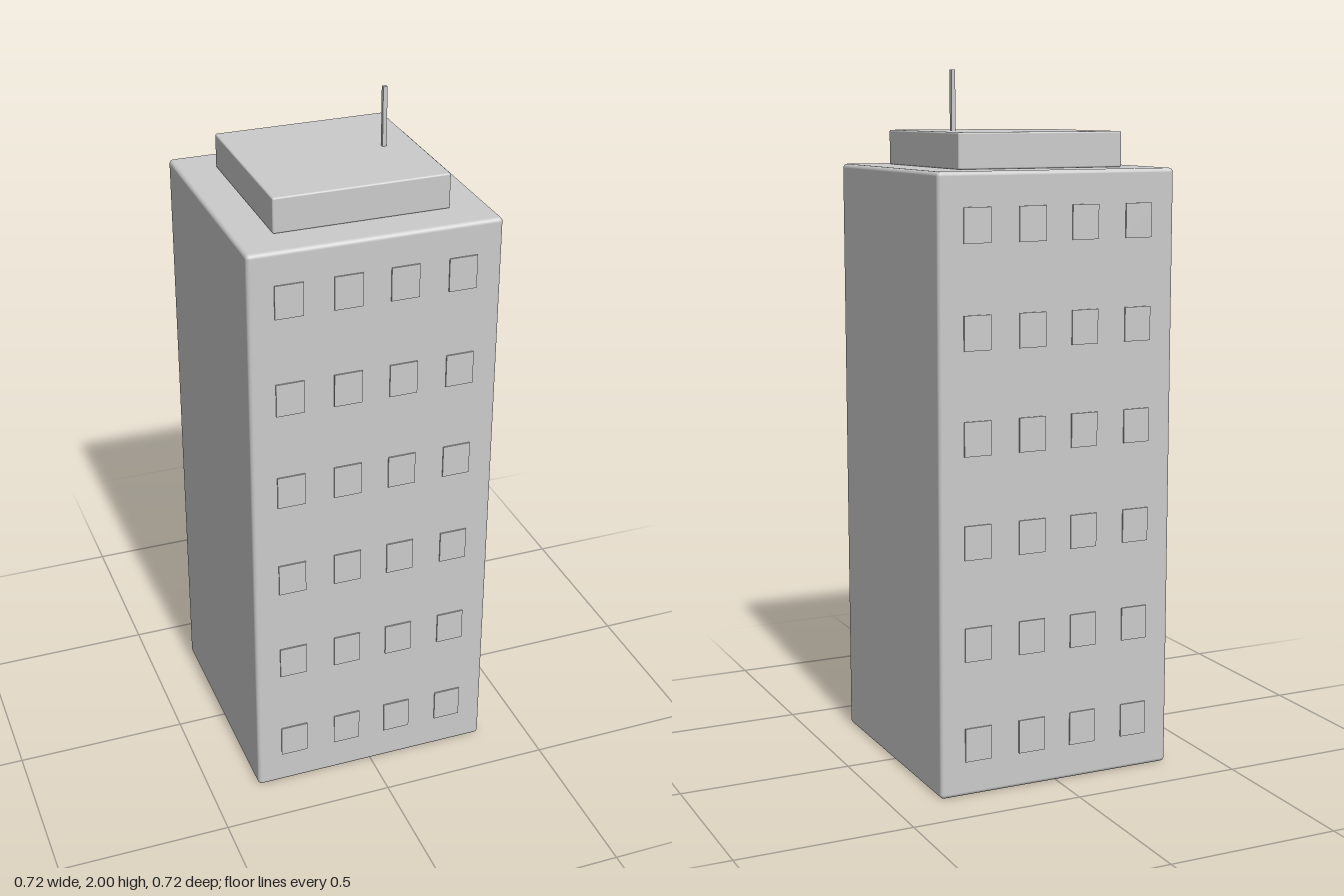
import * as THREE from 'three';
import { RoundedBoxGeometry } from 'three/addons/geometries/RoundedBoxGeometry.js';

export function createModel() {
  const group = new THREE.Group();
  const material = new THREE.MeshStandardMaterial({ color: 0xcccccc });

  const add = (name, geometry, x, y, z) => {
    const mesh = new THREE.Mesh(geometry, material);
    mesh.name = name;
    mesh.position.set(x, y, z);
    group.add(mesh);
  };

  const half = 0.358;        // half the width of the tower
  const towerHeight = 1.73;
  const roofHeight = 0.1;
  const roofTop = towerHeight + roofHeight;

  // Main block with softly rounded edges
  add('tower', new RoundedBoxGeometry(half * 2, towerHeight, half * 2, 3, 0.012), 0, towerHeight / 2, 0);

  // Smaller block on the roof
  add('roofBlock', new RoundedBoxGeometry(0.5, roofHeight, 0.5, 3, 0.005), 0, towerHeight + roofHeight / 2, 0);

  // Thin square mast, off centre
  add('antenna', new THREE.BoxGeometry(0.012, 2 - roofTop, 0.012), 0.157, (2 + roofTop) / 2, 0);

  // Window panels: six floors of four on the front and back, barely proud of the wall
  const pane = new THREE.BoxGeometry(0.08, 0.096, 0.014);
  for (const [side, name] of [[1, 'frontWindow'], [-1, 'backWindow']]) {
    for (let floor = 0; floor < 6; floor++) {
      for (const x of [-0.245, -0.08, 0.08, 0.245]) {
        add(name, pane, x, 0.148 + floor * 0.288, side * (half - 0.003));
      }
    }
  }

  return group;
}
